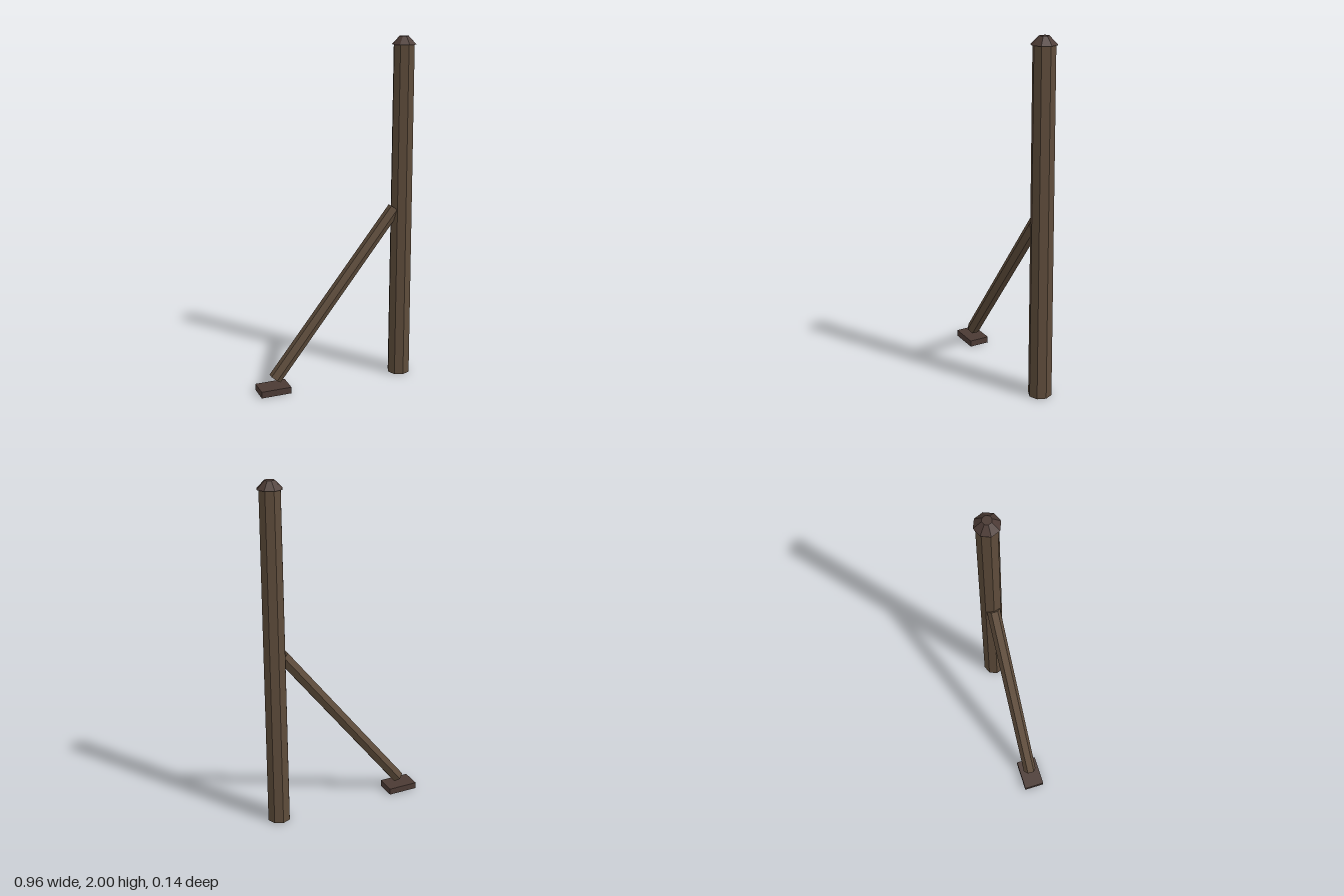
import * as THREE from 'three';

export function createModel() {
  const wood = new THREE.MeshStandardMaterial({ color: 0x5e4c3b, flatShading: true });
  wood.name = 'brownWood';
  const darkWood = new THREE.MeshStandardMaterial({ color: 0x4b3a34, flatShading: true });
  darkWood.name = 'darkWood';

  const group = new THREE.Group();
  group.name = 'bracedPost';
  const add = (name, geometry, material, x, y) => {
    const mesh = new THREE.Mesh(geometry, material);
    mesh.name = name;
    mesh.position.set(x, y, 0);
    group.add(mesh);
    return mesh;
  };

  const postX = 0.407;
  const postHeight = 1.955;

  // Slightly tapered eight-sided post with a chamfered cap
  add('post', new THREE.CylinderGeometry(0.061, 0.067, postHeight, 8), wood, postX, postHeight / 2);
  add('postCap', new THREE.CylinderGeometry(0.027, 0.072, 2 - postHeight, 8), darkWood, postX, (2 + postHeight) / 2);

  // Six-sided diagonal brace leaning into the post
  const foot = new THREE.Vector2(-0.379, 0.08);
  const head = new THREE.Vector2(0.363, 1.021);
  const span = head.clone().sub(foot);
  const brace = add('brace', new THREE.CylinderGeometry(0.039, 0.039, span.length(), 6), wood,
    (foot.x + head.x) / 2, (foot.y + head.y) / 2);
  brace.rotation.z = span.angle() - Math.PI / 2;

  // Ground pad below the brace
  add('footPad', new THREE.BoxGeometry(0.179, 0.038, 0.12), darkWood, -0.39, 0.019);

  return group;
}
